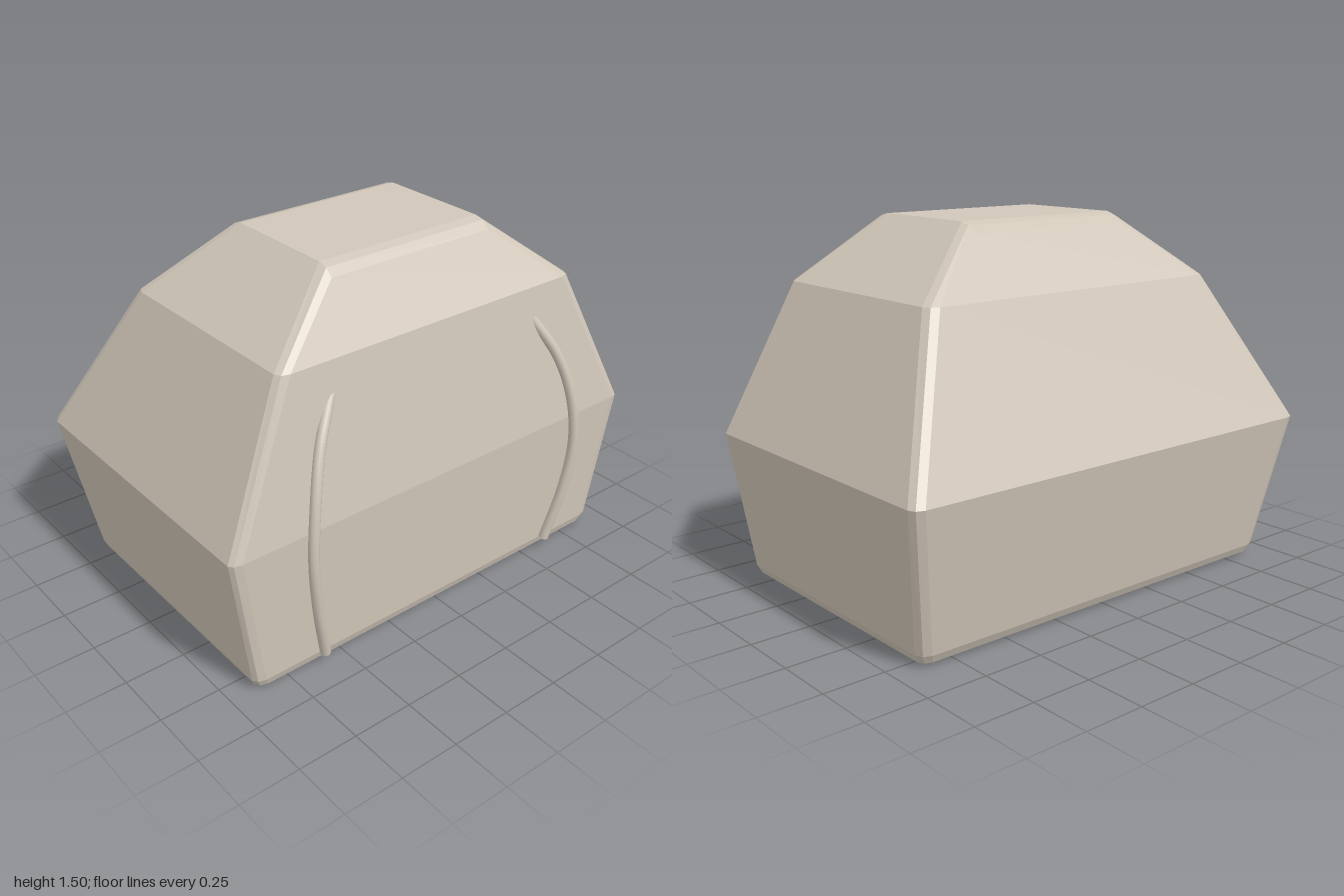
import * as THREE from 'three';

// One ring of the body: three points per rounded corner, going from +x front
// counter-clockwise seen from below (front right, front left, back left, back right).
function ring(y, hx, front, back, cx, cf, cb) {
  const corner = (s, z, c) => [
    [s * hx, y, z - c],
    [s * (hx - cx * 0.3), y, z - c * 0.3],
    [s * (hx - cx), y, z],
  ];
  return [
    ...corner(1, front, cf), ...corner(-1, front, cf).reverse(),
    ...corner(-1, back, -cb), ...corner(1, back, -cb).reverse(),
  ];
}

// Top ring: bevelled on the front and back edges only.
function topRing(hx) {
  const front = [[1.5, 0.33], [1.49, 0.37], [1.46, 0.4]];
  const back = [[1.5, -0.16], [1.488, -0.2], [1.46, -0.24]];
  const side = (s, list) => list.map(([y, z]) => [s * hx, y, z]);
  return [
    ...side(1, front), ...side(-1, front).reverse(),
    ...side(-1, back), ...side(1, back).reverse(),
  ];
}

// Flat-faced skin through the rings, closed at the bottom.
function loft(rings) {
  const pos = [];
  const tri = (a, b, c) => pos.push(...a, ...b, ...c);
  const n = rings[0].length;
  for (let r = 0; r < rings.length - 1; r++) {
    for (let i = 0; i < n; i++) {
      const j = (i + 1) % n;
      const [a, b, c, d] = [rings[r][i], rings[r][j], rings[r + 1][j], rings[r + 1][i]];
      tri(a, c, b);
      tri(a, d, c);
    }
  }
  const first = rings[0];
  for (let i = 1; i < n - 1; i++) tri(first[0], first[i], first[i + 1]);
  // Roof strips across the front bevel, flat top and back bevel
  const t = rings[rings.length - 1];
  const strip = [[2, 3], [1, 4], [0, 5], [11, 6], [10, 7], [9, 8]];
  for (let k = 0; k < strip.length - 1; k++) {
    const [a, b] = strip[k], [d, c] = strip[k + 1];
    tri(t[a], t[c], t[b]);
    tri(t[a], t[d], t[c]);
  }
  const g = new THREE.BufferGeometry();
  g.setAttribute('position', new THREE.Float32BufferAttribute(pos, 3));
  g.computeVertexNormals();
  return g;
}

export function createModel() {
  const group = new THREE.Group();
  const fabric = new THREE.MeshStandardMaterial({ color: 0xd0c6b8 });
  fabric.name = 'beige fabric';
  fabric.side = THREE.DoubleSide;

  // Faceted bag body
  const body = new THREE.Mesh(loft([
    ring(0, 0.86, 0.57, -0.535, 0.025, 0.015, 0.02),
    ring(0.015, 0.888, 0.6, -0.572, 0.04, 0.03, 0.035),
    ring(0.05, 0.905, 0.612, -0.59, 0.045, 0.03, 0.045),
    ring(0.63, 1.0, 0.635, -0.695, 0.045, 0.025, 0.04),
    ring(1.235, 0.715, 0.545, -0.408, 0.045, 0.035, 0.045),
    topRing(0.38),
  ]), fabric);
  body.name = 'body';
  group.add(body);

  // Curved shoulder straps on the front
  for (const s of [1, -1]) {
    const strap = new THREE.Group();
    strap.name = s > 0 ? 'leftStrap' : 'rightStrap';
    const path = new THREE.CatmullRomCurve3([
      [0.6, 0.055, 0.631], [0.655, 0.3, 0.662], [0.68, 0.54, 0.674],
      [0.655, 0.76, 0.655], [0.6, 0.94, 0.61], [0.5, 1.11, 0.543],
    ].map(([x, y, z]) => new THREE.Vector3(s * x, y, z)));
    const tube = new THREE.Mesh(new THREE.TubeGeometry(path, 32, 0.021, 12), fabric);
    tube.name = 'strapTube';
    // Flat lower end
    const cap = new THREE.Mesh(new THREE.CircleGeometry(0.021, 12), fabric);
    cap.name = 'strapEnd';
    cap.position.copy(path.getPoint(0));
    cap.lookAt(path.getPoint(0).sub(path.getTangent(0)));
    strap.add(tube, cap);
    group.add(strap);
  }
  return group;
}
